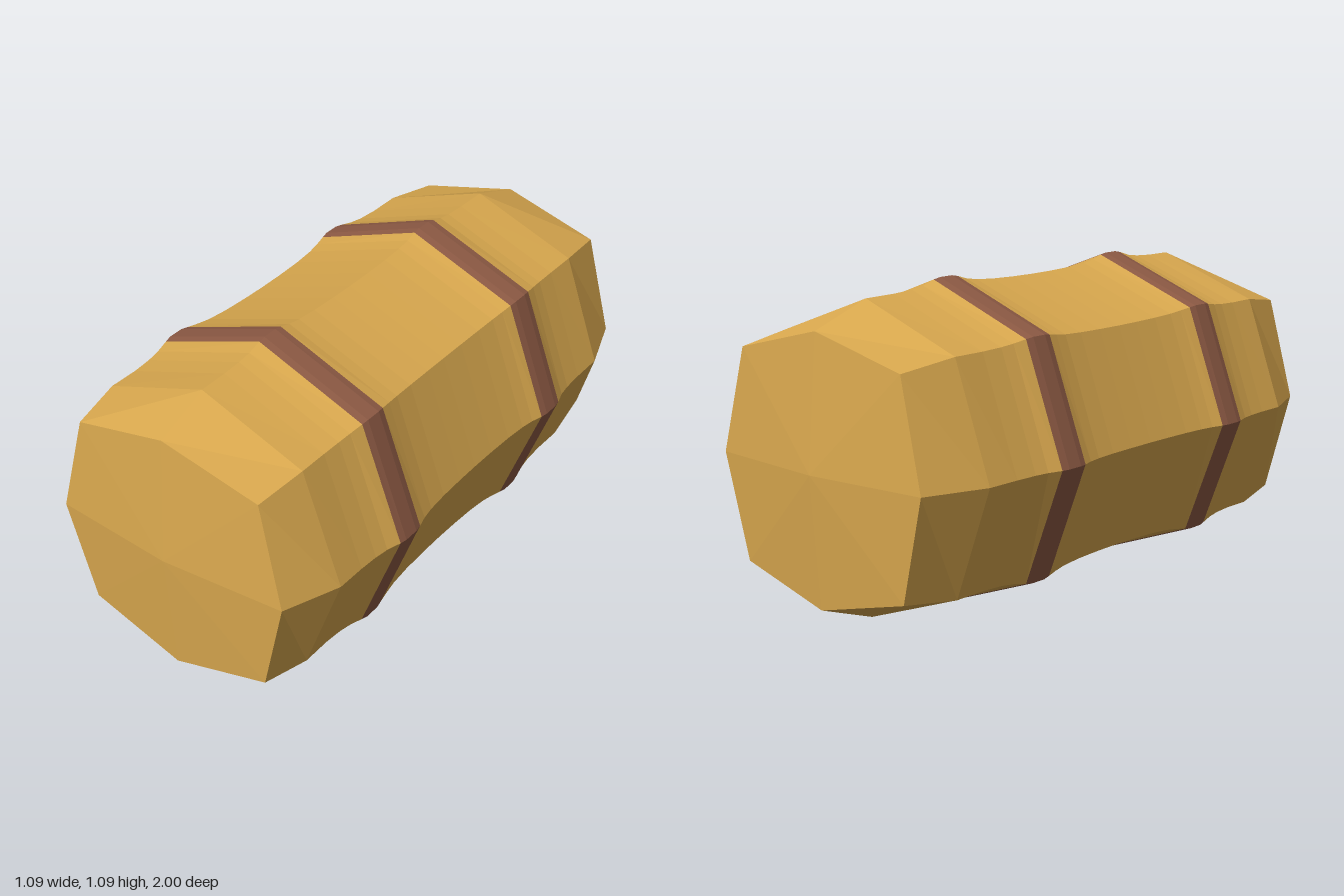
import * as THREE from 'three';

const CENTER_Y = 0.547;

// Octagonal ring: r = reach on the axes, d = x/y offset of the diagonal corners
function ring([z, r, d = r * 0.73, cornerZ = z]) {
  const points = [];
  for (let i = 0; i < 8; i++) {
    const a = (i * Math.PI) / 4;
    const diagonal = i % 2 === 1;
    const reach = diagonal ? d * Math.SQRT2 : r;
    points.push([reach * Math.cos(a), CENTER_Y + reach * Math.sin(a), diagonal ? cornerZ : z]);
  }
  return points;
}

// Unshared triangles keep every facet flat
function facetedMesh(name, triangles, material) {
  const geometry = new THREE.BufferGeometry();
  geometry.setAttribute('position', new THREE.Float32BufferAttribute(triangles.flat(2), 3));
  geometry.computeVertexNormals();
  const mesh = new THREE.Mesh(geometry, material);
  mesh.name = name;
  return mesh;
}

// Skin between successive sections, listed front to back
function tube(name, sections, material) {
  const rings = sections.map(ring);
  const triangles = [];
  for (let k = 0; k < rings.length - 1; k++) {
    for (let i = 0; i < 8; i++) {
      const j = (i + 1) % 8;
      const a = rings[k][i], b = rings[k][j], c = rings[k + 1][i], e = rings[k + 1][j];
      triangles.push([a, c, b], [b, c, e]);
    }
  }
  return facetedMesh(name, triangles, material);
}

// Shallow pointed cap on an end section
function cap(name, section, tipZ, material) {
  const points = ring(section);
  const tip = [0, CENTER_Y, tipZ];
  const triangles = points.map((p, i) => {
    const q = points[(i + 1) % 8];
    return tipZ > 0 ? [tip, p, q] : [tip, q, p];
  });
  return facetedMesh(name, triangles, material);
}

export function createModel() {
  const gold = new THREE.MeshStandardMaterial({ color: 0xd9a84e });
  gold.name = 'gold';
  const brown = new THREE.MeshStandardMaterial({ color: 0x8d5a44 });
  brown.name = 'brown';

  // Sections: [z, axis reach, diagonal offset, diagonal corner z]
  const frontEnd = [0.967, 0.437, 0.349, 0.952];
  const backEnd = [-0.963, 0.437, 0.349, -0.952];
  const frontBand = [[0.5, 0.539, 0.391], [0.475, 0.544, 0.395], [0.42, 0.544, 0.395], [0.393, 0.539, 0.391]];
  const backBand = [[-0.341, 0.539, 0.391], [-0.368, 0.544, 0.395], [-0.423, 0.544, 0.395], [-0.452, 0.539, 0.391]];

  const group = new THREE.Group();
  group.name = 'bandedBarrel';
  group.add(
    cap('frontCap', frontEnd, 1, gold),
    tube('frontBarrel', [frontEnd, [0.775, 0.512, 0.375], [0.67, 0.513], [0.6, 0.517], [0.55, 0.524], frontBand[0]], gold),
    tube('frontBand', frontBand, brown),
    tube('middleBarrel', [
      frontBand[3], [0.35, 0.527], [0.3, 0.519], [0.22, 0.513], [0.12, 0.51], [0.03, 0.509],
      [-0.07, 0.51], [-0.17, 0.513], [-0.25, 0.519], [-0.3, 0.527], backBand[0],
    ], gold),
    tube('backBand', backBand, brown),
    tube('backBarrel', [backBand[3], [-0.5, 0.524], [-0.55, 0.517], [-0.63, 0.513], [-0.75, 0.512, 0.375], backEnd], gold),
    cap('backCap', backEnd, -1, gold),
  );
  return group;
}
